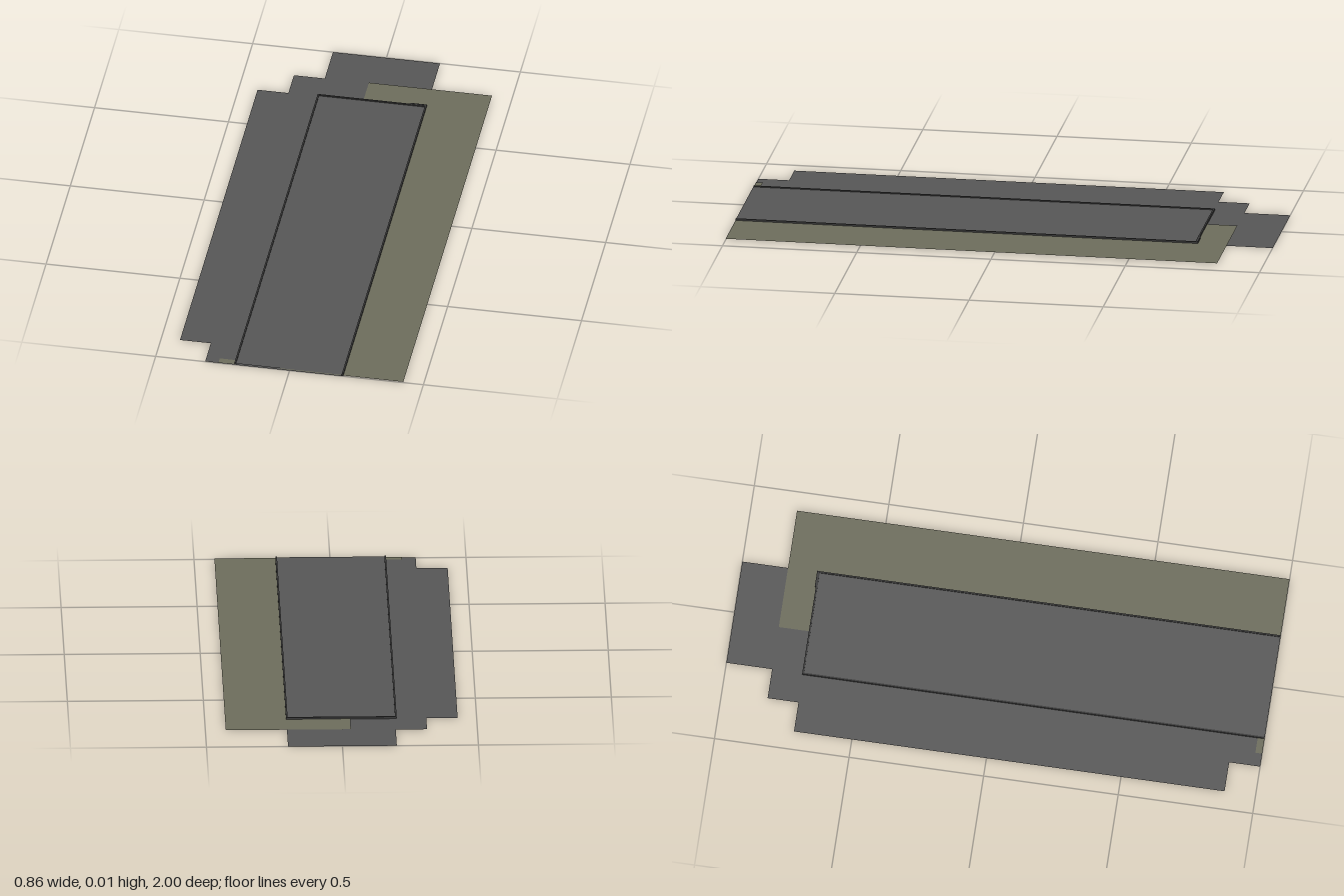
import * as THREE from 'three';

export function createModel() {
  const group = new THREE.Group();
  const mat = (name, color, side = THREE.FrontSide) =>
    new THREE.MeshStandardMaterial({ name, color, side });
  const grey = mat('grey sheet', 0x575757, THREE.DoubleSide);
  const olive = mat('olive sheet', 0x6d6d5c, THREE.DoubleSide);
  const dark = mat('dark rim', 0x393939);

  // Flat sheet spanning x0..x1 and z0..z1 at height y
  function sheet(name, x0, x1, z0, z1, y, material) {
    const geo = new THREE.PlaneGeometry(x1 - x0, z1 - z0).rotateX(-Math.PI / 2);
    const mesh = new THREE.Mesh(geo, material);
    mesh.position.set((x0 + x1) / 2, y, (z0 + z1) / 2);
    mesh.name = name;
    group.add(mesh);
  }

  // Thin raised rim bar
  function bar(name, x0, x1, z0, z1, y0 = 0.002, y1 = 0.01) {
    const mesh = new THREE.Mesh(new THREE.BoxGeometry(x1 - x0, y1 - y0, z1 - z0), dark);
    mesh.position.set((x0 + x1) / 2, (y0 + y1) / 2, (z0 + z1) / 2);
    mesh.name = name;
    group.add(mesh);
  }

  // Overlapping layers, lowest first
  sheet('baseSheet', -0.2, 0.2, -1, 1, 0, grey);
  sheet('middleSheet', -0.315, 0.19, -0.83, 1, 0.001, grey);
  sheet('outerSheet', -0.43, 0.19, -0.715, 0.885, 0.002, grey);
  sheet('oliveSheet', -0.035, 0.425, -0.83, 1, 0.0035, olive);
  sheet('oliveCorner', -0.265, -0.2, 0.975, 1, 0.0035, olive);
  sheet('topPanel', -0.2, 0.198, -0.715, 1, 0.006, grey);

  // Rim along both long sides and the back
  bar('rightRim', -0.206, -0.2, -0.715, 1);
  bar('leftRim', 0.195, 0.201, -0.715, 1);
  bar('backRim', -0.206, 0.201, -0.718, -0.712);
  bar('backRimCap', 0.14, 0.201, -0.722, -0.716, 0.003, 0.011);

  return group;
}
